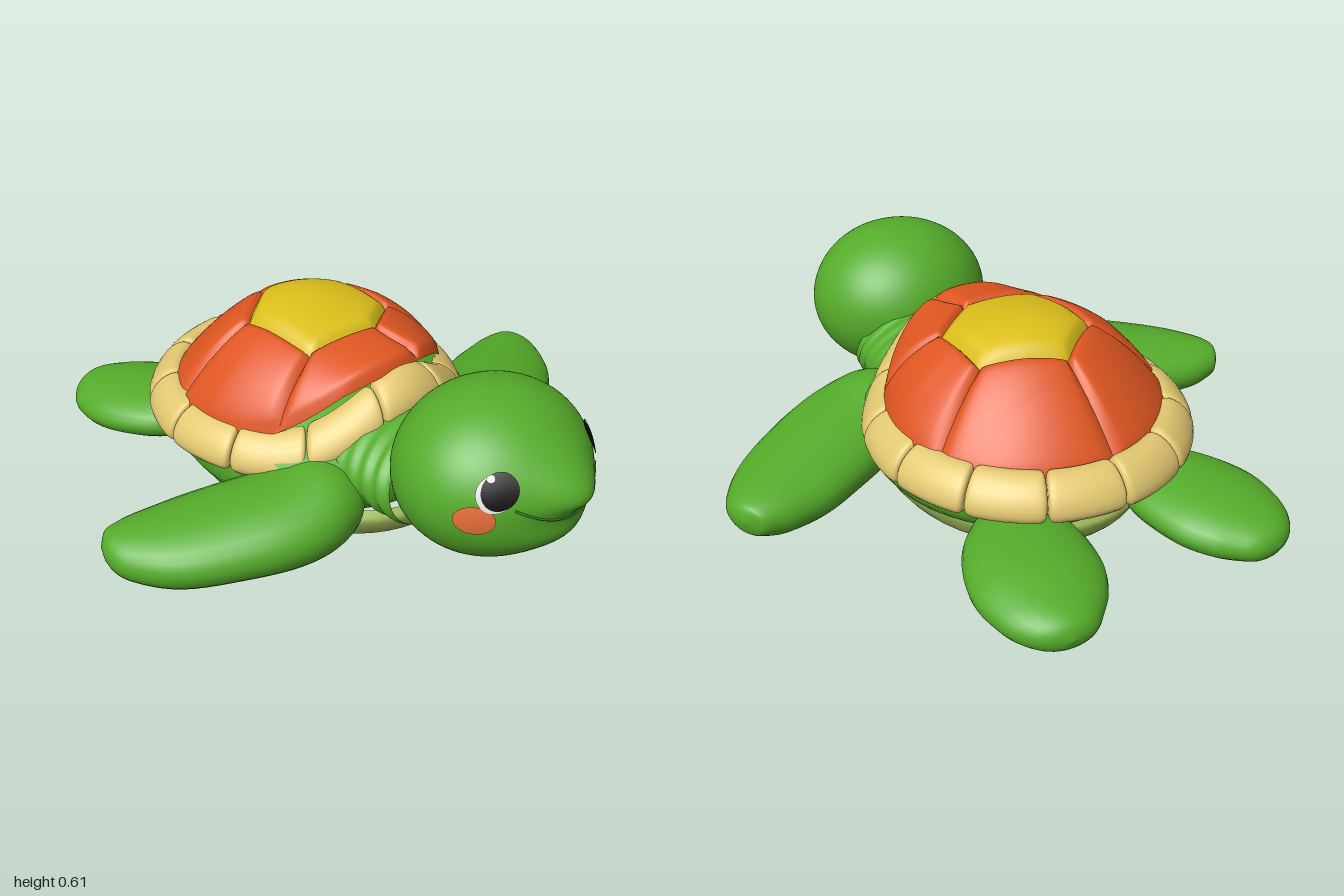
import * as THREE from 'three';
import { mergeVertices } from 'three/addons/utils/BufferGeometryUtils.js';

const mat = (name, color) => Object.assign(new THREE.MeshStandardMaterial({ color }), { name });
const M = {
  skin: mat('skin green', 0x55ac2a), belly: mat('belly olive', 0xa0bb5a),
  plate: mat('shell orange', 0xde5621), crown: mat('shell yellow', 0xdcbf1a),
  rim: mat('rim tan', 0xe2c871), mouth: mat('mouth dark green', 0x3a7a1e),
  black: mat('eye black', 0x0c0c0c), white: mat('eye white', 0xeeeeee),
  cheek: mat('cheek orange', 0xf0743e),
};

export function createModel() {
  const root = new THREE.Group();
  root.name = 'turtle';
  const add = (name, geo, material, parent = root) => {
    const mesh = new THREE.Mesh(geo, material);
    mesh.name = name;
    parent.add(mesh);
  };
  const smooth = (geo) => {
    geo.deleteAttribute('uv');
    geo.deleteAttribute('normal');
    const g = mergeVertices(geo, 1e-5);
    g.computeVertexNormals();
    return g;
  };

  // Surface from a rule f(u, v) -> [x, y, z]; it faces along du x dv
  const grid = (nu, nv, f) => {
    const pos = [], idx = [], w = nu + 1;
    for (let j = 0; j <= nv; j++) for (let i = 0; i <= nu; i++) pos.push(...f(i / nu, j / nv));
    for (let j = 0; j < nv; j++) for (let i = 0; i < nu; i++) {
      const a = j * w + i;
      idx.push(a, a + 1, a + w + 1, a, a + w + 1, a + w);
    }
    const g = new THREE.BufferGeometry();
    g.setAttribute('position', new THREE.Float32BufferAttribute(pos, 3));
    g.setIndex(idx);
    return smooth(g);
  };

  // Oval tube along a rule: section(v) -> [x, y, z, halfWidth, halfHeight];
  // roll lowers the outer side, lean pushes the top of each section forward
  const loft = (section, nu, nv, roll = 0, lean = 0) => grid(nu, nv, (u, v) => {
    const [x, y, z, hw, hh] = section(v);
    const p = section(Math.max(0, v - 0.01)), q = section(Math.min(1, v + 0.01));
    const dx = q[0] - p[0], dz = q[2] - p[2], l = Math.hypot(dx, dz) || 1;
    const a = u * Math.PI * 2, c = Math.cos(a) * hw, s = Math.sin(a) * hh;
    return [x + (dz * c + dx * s * lean) / l, Math.max(0, y + s - c * roll), z + (dz * s * lean - dx * c) / l];
  });
  const through = (rows, s) => {
    const path = new THREE.CatmullRomCurve3(rows.map((r) => new THREE.Vector3(r[0] * s, r[1], r[2])), false, 'catmullrom');
    const size = new THREE.CatmullRomCurve3(rows.map((r) => new THREE.Vector3(r[3], r[4], 0)), false, 'catmullrom');
    return (v) => {
      const p = path.getPoint(v), k = size.getPoint(v);
      return [p.x, p.y, p.z, Math.max(0, k.x), Math.max(0, k.y)];
    };
  };

  // Body and flat belly
  const turned = (name, profile, material, z, sz) => {
    const g = new THREE.LatheGeometry(profile.map((p) => new THREE.Vector2(...p)), 48);
    g.scale(1, 1, sz).translate(0, 0, z);
    add(name, smooth(g), material);
  };
  turned('belly', [[0, 0], [0.385, 0], [0.39, 0.002], [0.41, 0.03], [0.428, 0.07], [0.43, 0.095], [0.41, 0.11]], M.belly, -0.09, 1.24);
  turned('body', [[0.38, 0.085], [0.45, 0.095], [0.48, 0.14], [0.485, 0.2], [0.475, 0.27], [0.4, 0.34], [0.25, 0.4], [0, 0.42]], M.skin, -0.12, 1.07);

  // Neck with shallow, slanted folds
  add('neck', loft((v) => {
    const fold = 0.005 * Math.sin(v * 38) * v;
    return [0, 0.25 - 0.012 * v, 0.15 + 0.33 * v, 0.295 - 0.03 * v * v + fold, 0.165 + fold];
  }, 40, 40, 0, -0.28), M.skin);

  // Flippers
  const frontRows = [
    [0.24, 0.165, 0.225, 0.12, 0.1], [0.33, 0.15, 0.225, 0.175, 0.14], [0.45, 0.13, 0.2, 0.2, 0.132],
    [0.6, 0.115, 0.13, 0.2, 0.12], [0.75, 0.1, 0.05, 0.18, 0.107], [0.86, 0.1, -0.02, 0.13, 0.085],
    [0.912, 0.107, -0.055, 0.085, 0.062], [0.932, 0.112, -0.067, 0.05, 0.04], [0.942, 0.115, -0.073, 0, 0]];
  const backRows = [
    [0.24, 0.105, -0.46, 0.1, 0.06], [0.28, 0.1, -0.59, 0.18, 0.083], [0.33, 0.09, -0.75, 0.205, 0.09],
    [0.36, 0.08, -0.87, 0.172, 0.08], [0.375, 0.075, -0.95, 0.115, 0.062], [0.382, 0.075, -0.985, 0.065, 0.038],
    [0.385, 0.075, -1, 0, 0]];
  for (const [s, side] of [[1, 'left'], [-1, 'right']]) {
    add(side + 'FrontFlipper', loft(through(frontRows, s), 28, 40), M.skin);
    add(side + 'BackFlipper', loft(through(backRows, s), 28, 36), M.skin);
  }

  // Shell: a dome height rule, six side plates around a crown plate
  const shell = new THREE.Group();
  shell.name = 'shell';
  root.add(shell);
  const clamp = (t) => Math.min(1, Math.max(0, t));
  const domeY = (x, z) => {
    const r2 = (x / 0.47) ** 2 + ((z + 0.2) / 0.45) ** 2;
    const base = 0.3 + 0.22 * clamp((z + 0.2) / 0.4) * clamp(1 - (x / 0.45) ** 2);
    return base + (0.61 - base) * Math.max(0, 1 - r2) ** (0.75 + 0.3 * clamp((-z - 0.15) / 0.3));
  };
  const mix = (a, b, t) => a + (b - a) * t;
  const dip = (t) => 0.026 * Math.abs(2 * t - 1) ** 14;
  const hex = [[0.22, -0.04], [0.07, 0.06], [-0.18, 0.03], [-0.2, -0.25], [-0.02, -0.39], [0.22, -0.27], [0.22, -0.04]];
  const ends = [34, 78, 141, 198, 266, 339, 394];
  for (let k = 0; k < 6; k++) {
    add('sidePlate', grid(22, 18, (u, v) => {
      const a = THREE.MathUtils.degToRad(mix(ends[k], ends[k + 1], u));
      const x = mix(mix(hex[k][0], hex[k + 1][0], u), 0.465 * Math.cos(a), v);
      const z = mix(mix(hex[k][1], hex[k + 1][1], u), -0.2 + 0.445 * Math.sin(a), v);
      return [x, domeY(x, z) - Math.max(dip(u), dip(v)), z];
    }), M.plate, shell);
  }
  add('crownPlate', grid(48, 14, (u, v) => {
    const t = u * 6, k = Math.min(5, Math.floor(t));
    const x = mix(0.01, mix(hex[k][0], hex[k + 1][0], t - k), v);
    const z = mix(-0.16, mix(hex[k][1], hex[k + 1][1], t - k), v);
    return [x, domeY(x, z) - 0.026 * v ** 20, z];
  }), M.crown, shell);

  // Rim of close-set blocks sloping outward, rising towards the neck
  const blocks = 13;
  for (let k = 0; k < blocks; k++) {
    add('rimBlock', loft((v) => {
      const t = 0.5 - 0.5 * Math.cos(v * Math.PI);
      const a = -Math.PI / 2 + ((k + t) / blocks) * Math.PI * 2;
      const f = Math.max(0, 1 - Math.abs(2 * t - 1) ** 16) ** 0.22;
      const x = 0.471 * Math.cos(a), z = -0.205 + 0.481 * Math.sin(a);
      return [x, 0.27 + 0.18 * clamp((z + 0.05) / 0.33) ** 4, z, 0.062 * f, 0.056 * f];
    }, 20, 22, 0.55), M.rim, shell);
  }

  // Head: ellipsoid with a snout bump and a chin bump
  const head = new THREE.Group();
  head.name = 'head';
  root.add(head);
  const C = new THREE.Vector3(0, 0.345, 0.64), R = new THREE.Vector3(0.318, 0.265, 0.29);
  const onHead = (p, lift = 0) => {
    const q = p.clone().sub(C).divide(R).normalize().multiply(R).multiplyScalar(1 + lift).add(C);
    if (q.z > C.z) {
      const snout = Math.exp(-((q.x / 0.12) ** 2) - ((q.y - 0.4) / (q.y > 0.4 ? 0.1 : 0.06)) ** 2);
      const chin = Math.exp(-((q.x / 0.15) ** 2) - ((q.y - 0.25) / 0.07) ** 2);
      q.z += 0.07 * snout + 0.03 * chin;
    }
    return q;
  };
  const headAt = (x, y) => new THREE.Vector3(x, y,
    C.z + R.z * Math.sqrt(Math.max(0, 1 - (x / R.x) ** 2 - ((y - C.y) / R.y) ** 2)));
  const skull = new THREE.SphereGeometry(1, 72, 56);
  const sp = skull.attributes.position;
  for (let i = 0; i < sp.count; i++) {
    const q = onHead(new THREE.Vector3().fromBufferAttribute(sp, i).multiply(R).add(C));
    sp.setXYZ(i, q.x, q.y, q.z);
  }
  add('skull', smooth(skull), M.skin, head);

  // Thin oval laid on the head around front position (x, y)
  const patch = (name, x, y, a, b, tilt, lift, material) => {
    const c = headAt(x, y), n = c.clone().sub(C).divide(R).divide(R).normalize();
    const right = new THREE.Vector3(0, 1, 0).cross(n).normalize(), up = n.clone().cross(right);
    add(name, grid(28, 6, (u, v) => {
      const t = -u * Math.PI * 2, px = a * v * Math.cos(t), py = b * v * Math.sin(t);
      const p = c.clone()
        .addScaledVector(right, px * Math.cos(tilt) - py * Math.sin(tilt))
        .addScaledVector(up, px * Math.sin(tilt) + py * Math.cos(tilt));
      return onHead(p, lift).toArray();
    }), material, head);
  };
  for (const [s, side] of [[1, 'left'], [-1, 'right']]) {
    patch(side + 'Cheek', s * 0.262, 0.352, 0.062, 0.046, 0, 0.014, M.cheek);
    patch(side + 'EyeWhite', s * 0.213, 0.434, 0.054, 0.057, s * 0.4, 0.018, M.white);
    patch(side + 'Pupil', s * 0.202, 0.442, 0.05, 0.058, s * 0.4, 0.023, M.black);
    patch(side + 'EyeGlint', s * 0.207, 0.474, 0.011, 0.011, 0, 0.028, M.white);
  }

  // Smile
  const smile = [];
  for (let i = -8; i <= 8; i++) {
    const x = i * 0.0225;
    smile.push(onHead(headAt(x, 0.325 + 0.062 * (i / 8) ** 2)));
  }
  add('smile', new THREE.TubeGeometry(new THREE.CatmullRomCurve3(smile), 48, 0.004, 8), M.mouth, head);

  return root;
}
